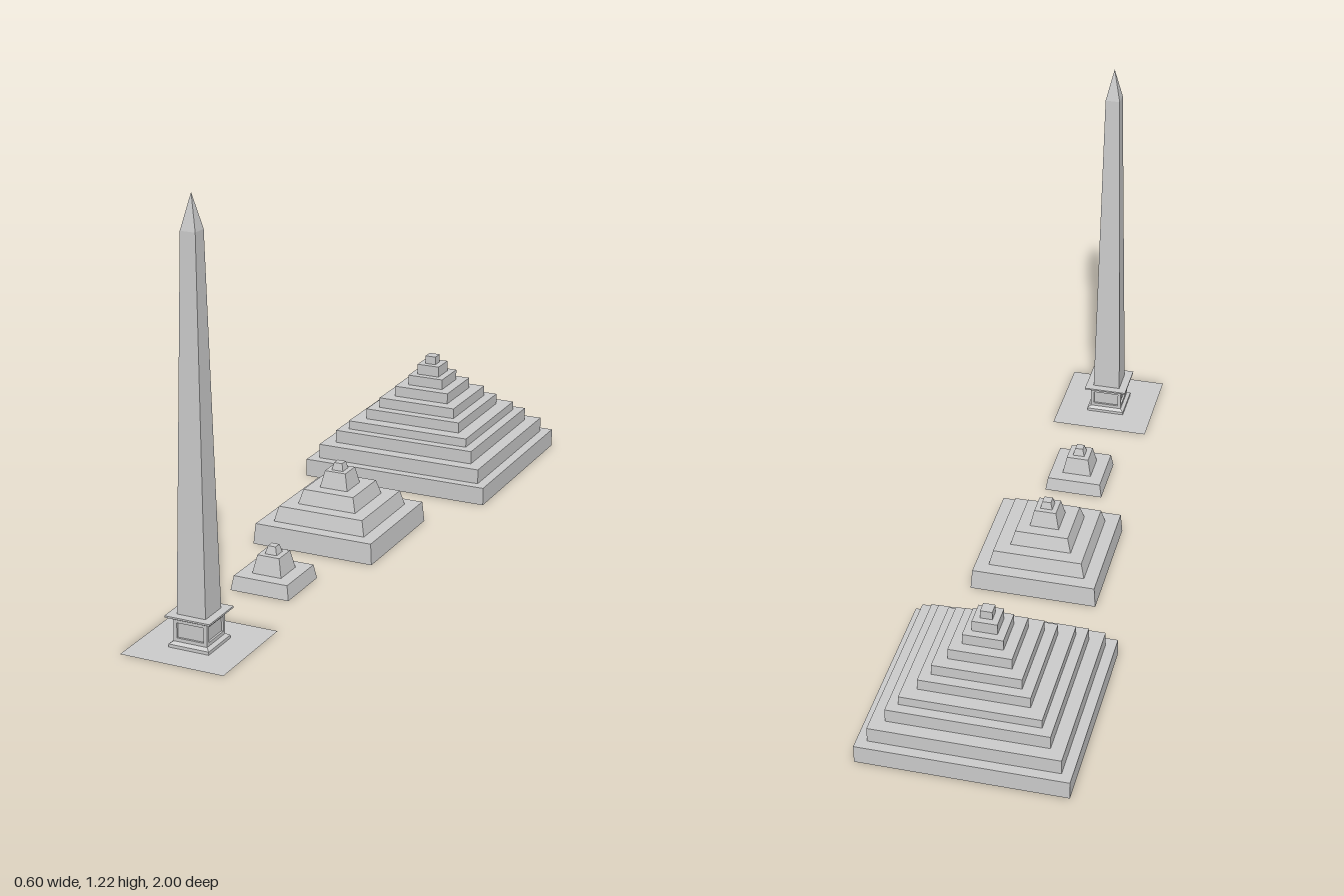
import * as THREE from 'three';

const material = new THREE.MeshStandardMaterial({
  color: 0xcccccc, flatShading: true, side: THREE.DoubleSide,
});

// Square shell swept from a profile of [half width, height], bottom to top
function squareShell(name, profile, z) {
  const points = profile.map(([h, y]) => new THREE.Vector2(h * Math.SQRT2, y));
  const geometry = new THREE.LatheGeometry(points, 4, Math.PI / 4).toNonIndexed();
  geometry.computeVertexNormals();
  const mesh = new THREE.Mesh(geometry, material);
  mesh.name = name;
  mesh.position.z = z;
  return mesh;
}

// Hollow stepped pyramid from tiers of [bottom half width, top half width, top height]
function steppedPyramid(name, tiers, z) {
  const profile = [];
  let y = 0;
  for (const [bottom, top, height] of tiers) {
    profile.push([bottom, y], [top, height]);
    y = height;
  }
  profile.push([0, y]);
  return squareShell(name, profile, z);
}

// Rectangular frame around a sunken panel on one pedestal side
function panelFrame() {
  const shape = new THREE.Shape([
    [-0.05, 0.016], [0.05, 0.016], [0.05, 0.078], [-0.05, 0.078],
  ].map(([x, y]) => new THREE.Vector2(x, y)));
  shape.holes.push(new THREE.Path([
    [-0.04, 0.026], [-0.04, 0.069], [0.04, 0.069], [0.04, 0.026],
  ].map(([x, y]) => new THREE.Vector2(x, y))));
  const geometry = new THREE.ExtrudeGeometry(shape, { depth: 0.006, bevelEnabled: false });
  geometry.translate(0, 0, 0.044);
  return geometry;
}

export function createModel() {
  const model = new THREE.Group();
  model.name = 'obeliskAndPyramids';

  // Large pyramid: ten upright tiers
  const halves = [0.3, 0.27, 0.23, 0.2, 0.158, 0.127, 0.09, 0.058, 0.036, 0.017];
  const tops = [0.055, 0.1, 0.14, 0.167, 0.2, 0.232, 0.265, 0.297, 0.33, 0.355];
  model.add(steppedPyramid('largePyramid', halves.map((h, i) => [h, h, tops[i]]), -0.7));

  // Medium and small pyramids: tiers with sloping sides
  model.add(steppedPyramid('mediumPyramid', [
    [0.19, 0.185, 0.062], [0.145, 0.134, 0.107], [0.092, 0.08, 0.15],
    [0.044, 0.033, 0.2], [0.018, 0.013, 0.222],
  ], -0.015));
  model.add(steppedPyramid('smallPyramid', [
    [0.09, 0.083, 0.042], [0.045, 0.034, 0.095], [0.018, 0.012, 0.118],
  ], 0.415));

  // Obelisk: ground slab, pedestal, shaft and pointed cap
  const obelisk = new THREE.Group();
  obelisk.name = 'obelisk';
  obelisk.position.z = 0.847;
  obelisk.add(squareShell('groundSlab', [[0.153, 0], [0.06, 0]], 0));
  obelisk.add(squareShell('pedestal', [
    [0.06, 0], [0.06, 0.009], [0.05, 0.016], [0.044, 0.016], [0.044, 0.078],
    [0.052, 0.078], [0.056, 0.083], [0.067, 0.086], [0.067, 0.091], [0.043, 0.091],
  ], 0));
  obelisk.add(squareShell('shaft', [[0.043, 0.091], [0.022, 1.125]], 0));
  obelisk.add(squareShell('pointedCap', [[0.022, 1.125], [0, 1.222]], 0));

  const frame = panelFrame();
  for (let i = 0; i < 4; i++) {
    const side = new THREE.Mesh(frame, material);
    side.name = 'pedestalFrame' + (i + 1);
    side.rotation.y = i * Math.PI / 2;
    obelisk.add(side);
  }
  model.add(obelisk);
  return model;
}
